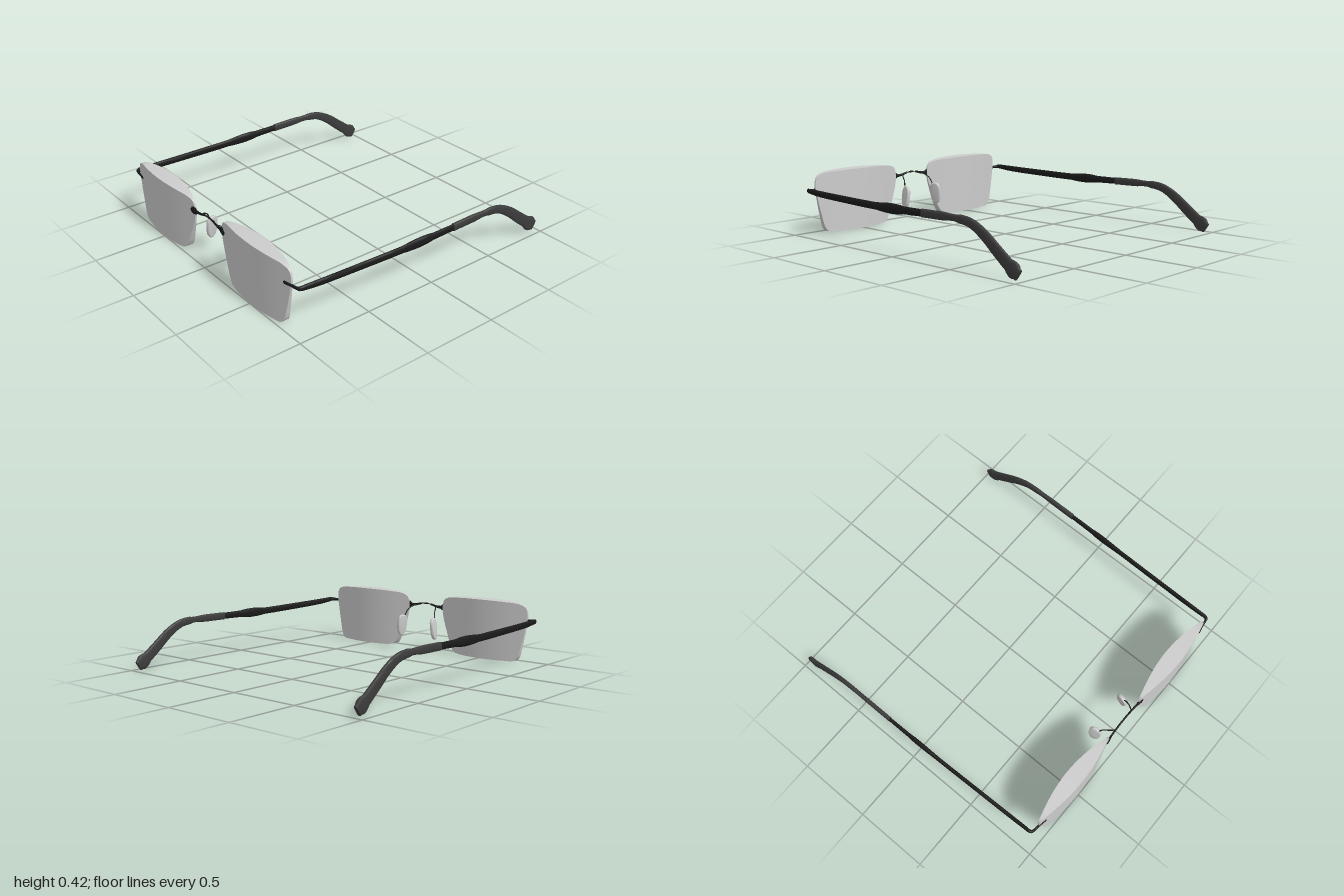
import * as THREE from 'three';
import { toCreasedNormals } from 'three/addons/utils/BufferGeometryUtils.js';

const V = (x, y, z) => new THREE.Vector3(x, y, z);
const grey = new THREE.MeshStandardMaterial({ color: 0xcccccc });
const black = new THREE.MeshStandardMaterial({ color: 0x1a1a1a });
const charcoal = new THREE.MeshStandardMaterial({ color: 0x3c3c3c });

// Skin a list of closed rings; a ring collapsed to a point closes an end
function loft(rings, crease = 0.75) {
  const n = rings[0].length;
  const index = [];
  const collapsed = (r) => r[0].distanceTo(r[1]) < 1e-6;
  for (let i = 0; i < rings.length - 1; i++) {
    for (let j = 0; j < n; j++) {
      const k = (j + 1) % n;
      const a = i * n + j, b = a + n, c = (i + 1) * n + k, d = i * n + k;
      if (!collapsed(rings[i + 1])) index.push(a, b, c);
      if (!collapsed(rings[i])) index.push(a, c, d);
    }
  }
  const geo = new THREE.BufferGeometry().setFromPoints(rings.flat());
  geo.setIndex(index);
  return toCreasedNormals(geo, crease);
}

// Sweep an oval along a path of [x, y, z, half width, half height];
// a power below 1 makes the oval boxier
function sweep(path, steps = 32, power = 1, sides = 16) {
  const curve = new THREE.CatmullRomCurve3(path.map((p) => V(p[0], p[1], p[2])));
  const size = new THREE.CatmullRomCurve3(path.map((p) => V(p[3], p[4], 0)));
  const bend = (v) => Math.sign(v) * Math.abs(v) ** power;
  const rings = [];
  for (let i = 0; i <= steps; i++) {
    const t = i / steps;
    const c = curve.getPoint(t), s = size.getPoint(t), T = curve.getTangent(t);
    const W = T.clone().cross(V(0, 1, 0)).normalize();
    const H = W.clone().cross(T);
    const ring = [];
    for (let j = 0; j < sides; j++) {
      const a = (j / sides) * Math.PI * 2;
      ring.push(c.clone().addScaledVector(W, s.x * bend(Math.cos(a))).addScaledVector(H, s.y * bend(Math.sin(a))));
    }
    const cap = ring.map(() => c.clone());
    if (i === 0) rings.push(cap);
    rings.push(ring);
    if (i === steps) rings.push(cap);
  }
  return loft(rings);
}

// Lens: outline filled with scaled rings, bulging by x only
const lensFront = (x) => 0.953 + 0.046 * Math.max(0, 1 - ((x - 0.51) / 0.355) ** 2) ** 1.2;
const lensBack = (x) => 0.942 - 0.054 * Math.max(0, 1 - ((x - 0.51) / 0.355) ** 2) ** 1.2;
function lensGeometry() {
  const outline = [
    [0.862, 0.335], [0.847, 0.388], [0.8, 0.411], [0.7, 0.42], [0.51, 0.424], [0.32, 0.419],
    [0.21, 0.408], [0.17, 0.388], [0.153, 0.335], [0.163, 0.26], [0.2, 0.16], [0.245, 0.06],
    [0.275, 0.02], [0.32, 0.009], [0.5, 0.004], [0.7, 0.006], [0.77, 0.01], [0.797, 0.035],
    [0.822, 0.12], [0.85, 0.25],
  ];
  const loop = new THREE.CatmullRomCurve3(outline.map(([x, y]) => V(x, y, 0)), true).getPoints(120).slice(0, -1);
  const ring = (s, depth) => loop.map((p) => {
    const x = 0.51 + (p.x - 0.51) * s;
    return V(x, 0.22 + (p.y - 0.22) * s, depth(x));
  });
  const scales = [0, 0.15, 0.3, 0.45, 0.6, 0.75, 0.88, 1];
  return loft([
    ...scales.map((s) => ring(s, lensFront)),
    ...scales.slice().reverse().map((s) => ring(s, lensBack)),
  ]);
}

// Nose pad: thin teardrop plate, tilted
function padGeometry() {
  const shape = new THREE.Shape();
  shape.moveTo(0, 0.073);
  shape.bezierCurveTo(0.03, 0.075, 0.038, 0.05, 0.036, 0.01);
  shape.bezierCurveTo(0.034, -0.04, 0.02, -0.073, 0, -0.073);
  shape.bezierCurveTo(-0.02, -0.073, -0.034, -0.04, -0.036, 0.01);
  shape.bezierCurveTo(-0.038, 0.05, -0.03, 0.075, 0, 0.073);
  const geo = new THREE.ExtrudeGeometry(shape, {
    depth: 0.01, bevelThickness: 0.007, bevelSize: 0.006, bevelSegments: 3, curveSegments: 10,
  });
  geo.translate(0, 0, -0.005).rotateY(Math.PI / 2).rotateZ(0.11).rotateY(-0.22);
  return toCreasedNormals(geo.translate(0.145, 0.181, 0.845), 0.75);
}

function mirrored(geometry) {
  const geo = geometry.clone().scale(-1, 1, 1);
  const index = [];
  for (let i = 0; i < geo.attributes.position.count; i += 3) index.push(i, i + 2, i + 1);
  geo.setIndex(index);
  return geo;
}

export function createModel() {
  const model = new THREE.Group();
  model.name = 'eyeglasses';
  const add = (name, geo, mat) => {
    const mesh = new THREE.Mesh(geo, mat);
    mesh.name = name;
    model.add(mesh);
  };
  const pair = (name, geo, mat) => {
    add('left' + name, geo, mat);
    add('right' + name, mirrored(geo), mat);
  };

  pair('Lens', lensGeometry(), grey);
  pair('NosePad', padGeometry(), grey);

  // Arched bridge with a rounded tab on each lens
  const half = [
    [0.197, 0.329, 0.958, 0.003, 0.004], [0.19, 0.329, 0.957, 0.006, 0.011],
    [0.13, 0.328, 0.951, 0.006, 0.011], [0.09, 0.332, 0.949, 0.006, 0.008],
    [0.045, 0.343, 0.948, 0.006, 0.007],
  ];
  const otherHalf = half.map(([x, ...rest]) => [-x, ...rest]).reverse();
  add('bridge', sweep([...half, [0, 0.347, 0.948, 0.006, 0.007], ...otherHalf], 60), black);

  // Wire from the bridge to the pad
  pair('PadWire', sweep([
    [0.085, 0.332, 0.947, 0.004, 0.004], [0.108, 0.318, 0.915, 0.004, 0.004],
    [0.122, 0.295, 0.885, 0.004, 0.004], [0.132, 0.262, 0.87, 0.004, 0.004],
    [0.142, 0.215, 0.853, 0.004, 0.004],
  ], 20, 1, 8), black);

  // Tab on the lens, turning the corner into the temple
  pair('EndPiece', sweep([
    [0.803, 0.3, 0.964, 0.003, 0.004], [0.81, 0.3, 0.963, 0.007, 0.011],
    [0.865, 0.3, 0.953, 0.007, 0.01], [0.905, 0.302, 0.948, 0.008, 0.011],
    [0.92, 0.303, 0.942, 0.01, 0.014], [0.926, 0.303, 0.925, 0.011, 0.016],
    [0.927, 0.302, 0.9, 0.011, 0.017],
  ], 40), black);

  // Gently sagging temple rod
  pair('Temple', sweep([
    [0.926, 0.302, 0.91, 0.011, 0.017], [0.929, 0.296, 0.8, 0.012, 0.021],
    [0.936, 0.289, 0.5, 0.012, 0.023], [0.943, 0.285, 0.2, 0.012, 0.024],
    [0.946, 0.288, -0.05, 0.012, 0.024], [0.947, 0.291, -0.22, 0.011, 0.022],
  ], 30, 0.85), black);

  // Ear tip, bending down and flaring
  pair('EarTip', sweep([
    [0.947, 0.291, -0.215, 0.013, 0.026], [0.947, 0.294, -0.38, 0.013, 0.026],
    [0.947, 0.294, -0.53, 0.013, 0.026], [0.947, 0.28, -0.62, 0.013, 0.028],
    [0.947, 0.232, -0.715, 0.013, 0.033], [0.947, 0.152, -0.82, 0.013, 0.037],
    [0.947, 0.088, -0.905, 0.013, 0.039], [0.947, 0.046, -0.967, 0.013, 0.039],
    [0.947, 0.038, -0.979, 0.012, 0.036],
  ], 48, 0.6), charcoal);

  return model;
}
